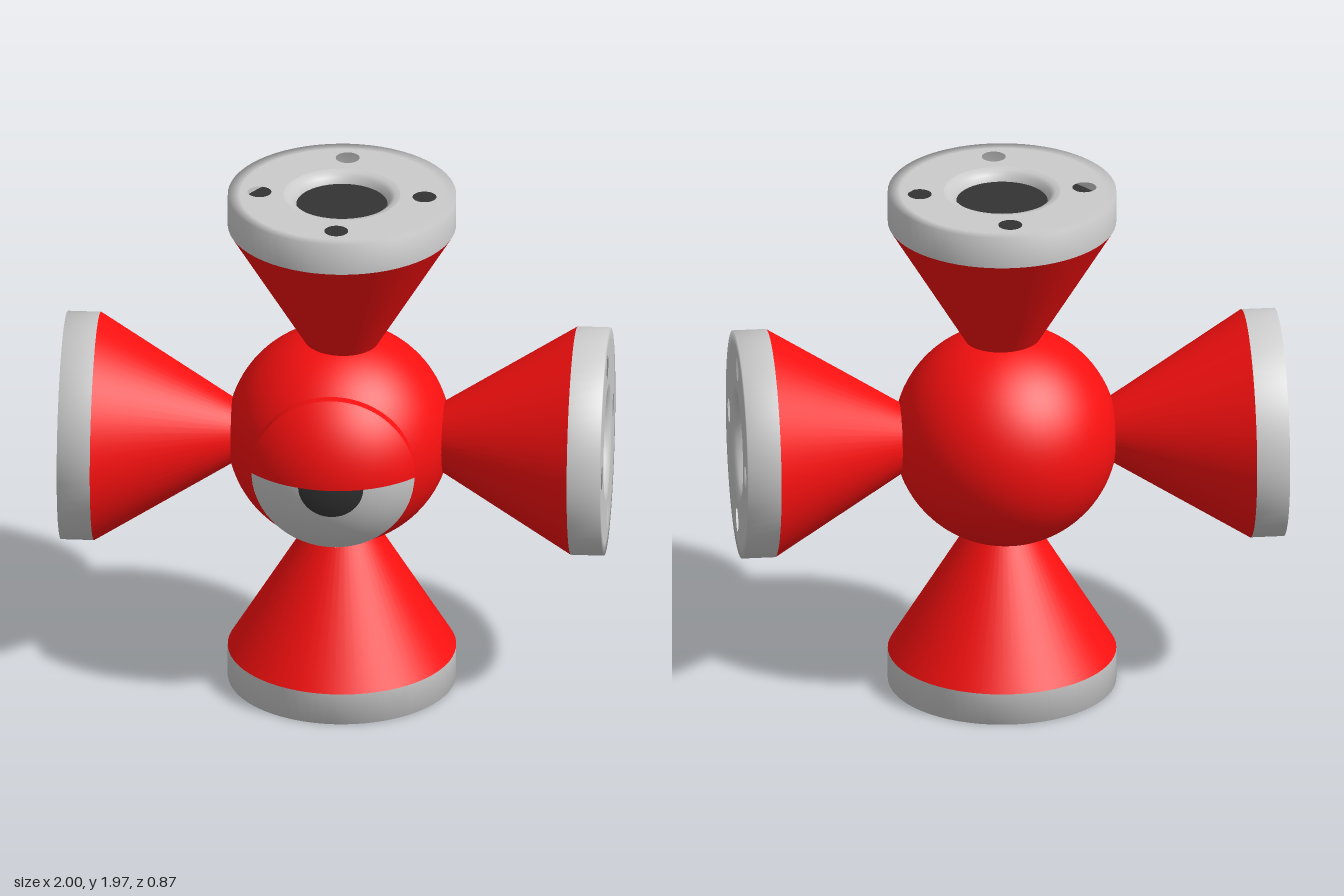
import * as THREE from 'three';

const paint = (color) => new THREE.MeshStandardMaterial({ color, side: THREE.DoubleSide });
const red = paint(0xfa1010), grey = paint(0xcccccc), dark = paint(0x333333);

function add(parent, name, geometry, material) {
  const mesh = new THREE.Mesh(geometry, material);
  mesh.name = name;
  parent.add(mesh);
  return mesh;
}

const lathe = (points, start = 0, length = Math.PI * 2) =>
  new THREE.LatheGeometry(points.map(([r, y]) => new THREE.Vector2(r, y)), 64, start, length);

// Flared arm pointing along +y, with its hollow end plate starting at "reach"
function makeArm(name, reach) {
  const R = 0.42, thick = 0.122, coneLength = 0.55;
  const arm = new THREE.Group();
  arm.name = name;
  add(arm, 'cone', new THREE.CylinderGeometry(R, 0.09, coneLength, 64, 1, true), red)
    .position.y = reach - coneLength / 2;

  const flange = new THREE.Group();
  flange.name = 'flange';
  flange.position.y = reach;
  arm.add(flange);
  add(flange, 'rim', lathe([[R, 0], [R, thick], [0.375, thick]]), grey);
  add(flange, 'lip', lathe([[0.215, thick], [0.195, thick - 0.004], [0.178, thick - 0.016], [0.168, thick - 0.04]]), grey);

  // Face plate with the central opening and four bolt holes
  const face = new THREE.Shape().absarc(0, 0, 0.375, 0, Math.PI * 2);
  face.holes.push(new THREE.Path().absarc(0, 0, 0.215, 0, Math.PI * 2, true));
  for (let i = 0; i < 4; i++) {
    const a = i * Math.PI / 2;
    face.holes.push(new THREE.Path().absarc(0.304 * Math.cos(a), 0.304 * Math.sin(a), 0.044, 0, Math.PI * 2, true));
  }
  add(flange, 'facePlate', new THREE.ShapeGeometry(face, 32).rotateX(-Math.PI / 2).translate(0, thick, 0), grey);

  // Dark floor seen through the openings
  add(flange, 'floor', new THREE.CircleGeometry(R - 0.003, 64).rotateX(-Math.PI / 2).translate(0, 0.006, 0), dark);
  return arm;
}

// Domed profile from the axis apex out to the given radius
function dome(radius, apex, curve) {
  const points = [];
  for (let i = 0; i <= 14; i++) {
    const r = radius * (1 - i / 14);
    points.push([r, apex - curve + Math.sqrt(curve * curve - r * r)]);
  }
  return points;
}

function makeEye() {
  const eye = new THREE.Group();
  eye.name = 'eye';
  eye.position.set(0.01, 0.972, 0);
  const half = (points, upper) =>
    lathe(points, upper ? Math.PI / 2 : -Math.PI / 2, Math.PI).rotateX(Math.PI / 2);

  const lid = dome(0.302, 0.44, 0.41);
  add(eye, 'upperLid', half(lid, true), red);
  add(eye, 'eyeball', half(dome(0.3, 0.425, 0.42), false), grey);
  add(eye, 'pupil', half(dome(0.12, 0.43, 0.42), false), dark);

  // Short side walls joining the domes to the body
  const wall = (r, top) => [[r, 0.2], [r, top]];
  add(eye, 'lidSide', half(wall(0.302, lid[0][1]), true), red);
  add(eye, 'eyeballSide', half(wall(0.3, 0.299), false), grey);

  // Flat lower edge of the lid
  const edge = [[0.302, 0.2], ...lid, ...lid.slice().reverse().map(([r, z]) => [-r, z]), [-0.302, 0.2]];
  const shape = new THREE.Shape(edge.map(([r, z]) => new THREE.Vector2(r, z)));
  add(eye, 'lidEdge', new THREE.ShapeGeometry(shape).rotateX(Math.PI / 2), red);
  return eye;
}

export function createModel() {
  const model = new THREE.Group();
  model.name = 'model';

  add(model, 'body', new THREE.SphereGeometry(0.412, 64, 40), red).position.set(0.01, 0.985, -0.022);
  model.add(makeEye());

  // Four arms: name, turn about z, distance from hub to end plate
  const arms = [
    ['topArm', 0, 0.858],
    ['rightArm', Math.PI / 2, 0.9],
    ['bottomArm', Math.PI, 0.863],
    ['leftArm', -Math.PI / 2, 0.856],
  ];
  for (const [name, turn, reach] of arms) {
    const arm = makeArm(name, reach);
    arm.rotation.z = turn;
    arm.position.set(0.022, 0.985, -0.013);
    model.add(arm);
  }
  return model;
}
